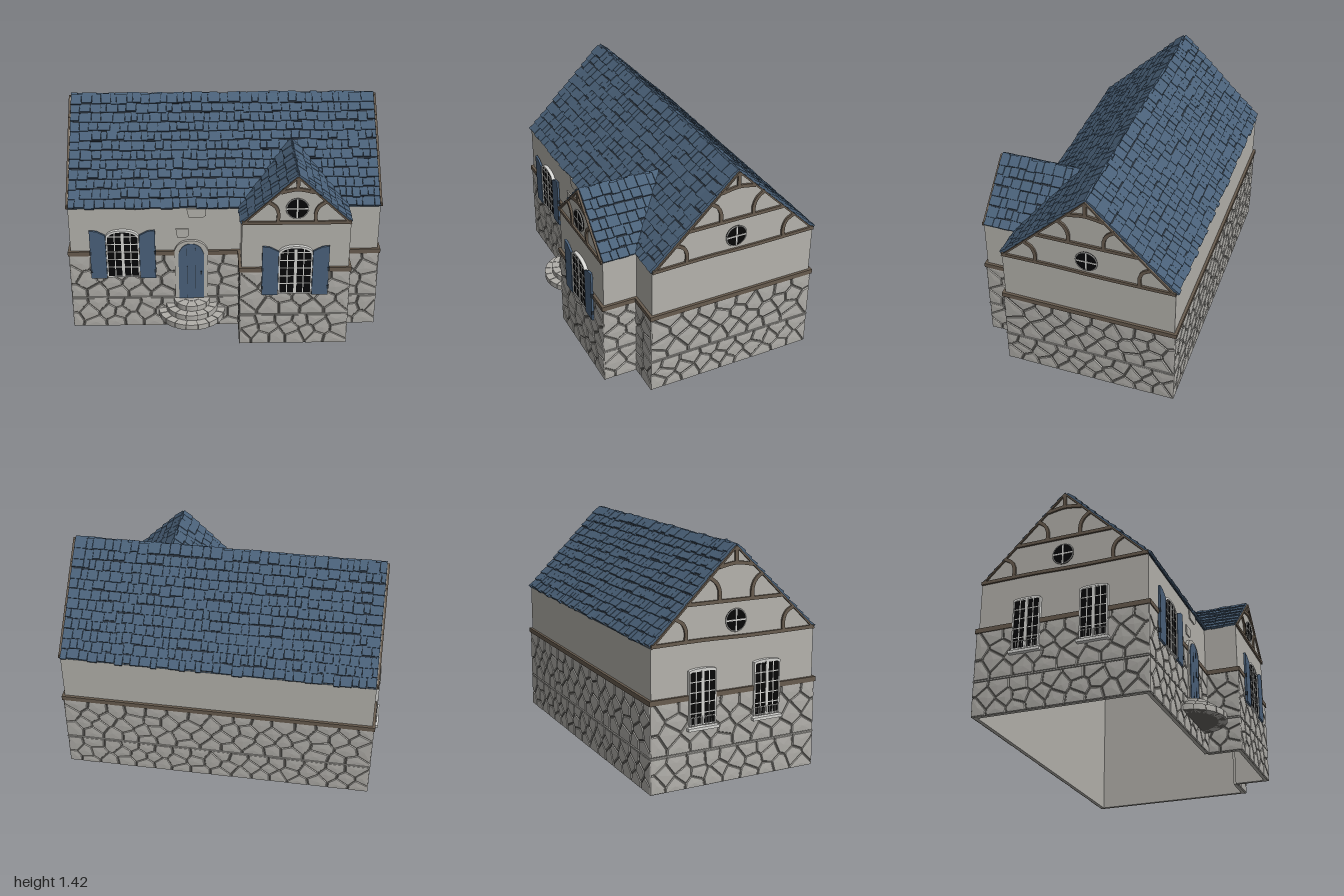
import * as THREE from 'three';
import { mergeGeometries } from 'three/addons/utils/BufferGeometryUtils.js';

const mat = (name, color) => {
  const m = new THREE.MeshStandardMaterial({ color });
  m.name = name;
  return m;
};
const M = {
  plaster: mat('plaster', 0xb5b3ad), stone: mat('stone', 0xb1afaa),
  grout: mat('grout', 0x6a6863), timber: mat('timber', 0x685c4f),
  tile: mat('roofTile', 0x4a6179), gap: mat('roofGap', 0x28313b),
  frame: mat('windowFrame', 0xd6d6d3), glass: mat('glass', 0x060607), blue: mat('bluePaint', 0x4a617b),
};
const HALF = Math.PI / 2;
let seed = 7;
const rnd = () => ((seed = (seed * 16807) % 2147483647) / 2147483647);

function add(parent, name, geo, material, x = 0, y = 0, z = 0) {
  const m = new THREE.Mesh(geo, material);
  m.name = name;
  m.position.set(x, y, z);
  parent.add(m);
  return m;
}
// Box given by its centre in x and y and its depth range in z
const box = (p, name, material, x, y, w, h, z0, z1) =>
  add(p, name, new THREE.BoxGeometry(w, h, z1 - z0), material, x, y, (z0 + z1) / 2);
const extrude = (shape, depth) =>
  new THREE.ExtrudeGeometry(shape, { depth, bevelEnabled: false, curveSegments: 8 });
const polygon = pts => new THREE.Shape(pts.map(p => new THREE.Vector2(p[0], p[1])));

// Local frame of one house side: x along it, y up, z outwards
function side(parent, name, x, z, turn) {
  const g = new THREE.Group();
  g.name = name;
  g.position.set(x, 0, z);
  g.rotation.y = turn;
  parent.add(g);
  return g;
}

// Timber following a smooth path on a wall
function beam(parent, pts, w, flip = 1) {
  const line = new THREE.SplineCurve(pts.map(p => new THREE.Vector2(p[0] * flip, p[1]))).getPoints(pts.length > 2 ? 10 : 1);
  const left = [], right = [];
  line.forEach((p, i) => {
    const a = line[Math.max(i - 1, 0)], b = line[Math.min(i + 1, line.length - 1)];
    const d = b.clone().sub(a).normalize().multiplyScalar(w / 2);
    left.push([p.x - d.y, p.y + d.x]);
    right.unshift([p.x + d.y, p.y - d.x]);
  });
  add(parent, 'timberBeam', extrude(polygon([...left, ...right]), 0.012), M.timber);
}

// Irregular stones: cells around jittered points, each with a sloped rim and a low crown
function stoneBand(parent, w, y0, y1, rows, cell) {
  const cols = Math.max(2, Math.round(w / cell)), h = y1 - y0, sites = [], pos = [];
  for (let r = 0; r < rows; r++) for (let c = 0; c < cols; c++) {
    sites.push([((c + 0.25 + (r % 2) * 0.5 + (rnd() - 0.5) * 0.5) / cols - 0.5) * w,
      y0 + (r + 0.5 + (rnd() - 0.5) * 0.55) / rows * h]);
  }
  for (const s of sites) {
    let poly = [[-w / 2, y0], [w / 2, y0], [w / 2, y1], [-w / 2, y1]];
    for (const q of sites) {
      const dx = q[0] - s[0], dy = q[1] - s[1], len = Math.hypot(dx, dy);
      if (q === s || len > 0.5) continue;
      const dist = p => ((p[0] - s[0]) * dx + (p[1] - s[1]) * dy) / len - len / 2 + 0.003;
      const out = [];
      poly.forEach((a, i) => {
        const b = poly[(i + 1) % poly.length], da = dist(a), db = dist(b);
        if (da <= 0) out.push(a);
        if (da * db < 0) out.push([a[0] + (b[0] - a[0]) * da / (da - db), a[1] + (b[1] - a[1]) * da / (da - db)]);
      });
      poly = out;
    }
    if (poly.length < 3) continue;
    const cx = poly.reduce((t, p) => t + p[0], 0) / poly.length;
    const cy = poly.reduce((t, p) => t + p[1], 0) / poly.length;
    const top = p => [cx + (p[0] - cx) * 0.91, cy + (p[1] - cy) * 0.91, 0.011];
    poly.forEach((p, i) => {
      const a = [...p, 0.004], b = [...poly[(i + 1) % poly.length], 0.004], ta = top(a), tb = top(b);
      pos.push(...a, ...b, ...tb, ...a, ...tb, ...ta, ...ta, ...tb, cx, cy, 0.0135);
    });
  }
  const geo = new THREE.BufferGeometry();
  geo.setAttribute('position', new THREE.Float32BufferAttribute(pos, 3));
  geo.computeVertexNormals();
  add(parent, 'stones', geo, M.stone);
}

function wall(parent, name, x, z, turn, len) {
  const g = side(parent, name, x, z, turn);
  box(g, 'plasterWall', M.plaster, 0, 0.435, len, 0.87, -0.02, 0);
  box(g, 'groutBacking', M.grout, 0, 0.27, len + 0.01, 0.54, 0, 0.005);
  stoneBand(g, len + 0.024, 0, 0.215, 3, 0.12);
  stoneBand(g, len + 0.024, 0.225, 0.54, 4, 0.13);
  box(g, 'stoneLedge', M.stone, 0, 0.22, len + 0.026, 0.008, 0, 0.013);
  box(g, 'timberRail', M.timber, 0, 0.55, len + 0.034, 0.03, 0, 0.017);
  return g;
}

// Upright outline with an arched top
function arch(w, y0, y1, rise, Type = THREE.Shape) {
  const s = new Type(), a = w / 2;
  s.moveTo(-a, y0);
  s.lineTo(a, y0);
  s.lineTo(a, y1 - rise);
  s.bezierCurveTo(a * 0.85, y1 - rise * 0.3, a * 0.5, y1, 0, y1);
  s.bezierCurveTo(-a * 0.5, y1, -a * 0.85, y1 - rise * 0.3, -a, y1 - rise);
  s.closePath();
  return s;
}

function windowUnit(parent, x, w, y0, y1, rise, cols, rows) {
  const g = side(parent, 'window', x, 0, 0);
  add(g, 'windowGlass', extrude(arch(w, y0, y1, rise), 0.048), M.glass, 0, 0, -0.03);
  const rim = arch(w + 0.006, y0 - 0.004, y1 + 0.004, rise);
  rim.holes.push(arch(w - 0.01, y0 + 0.004, y1 - 0.008, rise, THREE.Path));
  add(g, 'windowFrame', extrude(rim, 0.054), M.frame, 0, 0, -0.031);
  for (let i = 1; i < cols; i++) {
    const mid = i === cols / 2;
    box(g, 'mullion', M.frame, (i / cols - 0.5) * w, (y0 + y1 - rise * 0.4) / 2, mid ? 0.018 : 0.006, y1 - y0 - rise * 0.4, -0.031, mid ? 0.023 : 0.021);
  }
  // Taller panes at the bottom
  const low = y0 + 0.07;
  for (let j = 0; j < rows; j++) box(g, 'glazingBar', M.frame, 0, low + (y1 - rise - low) * j / (rows - 1), w, 0.006, -0.031, 0.021);
  return g;
}

function shutters(g) {
  for (const s of [-1, 1]) {
    const pts = [[0.105, 0.375], [0.205, 0.375], [0.205, 0.72], [0.16, 0.715], [0.105, 0.685]].map(p => [p[0] * s, p[1]]);
    add(g, 'shutter', extrude(polygon(pts), 0.014), M.blue, 0, 0, 0.012);
    for (const y of [0.43, 0.56]) box(g, 'shutterHinge', M.gap, s * 0.202, y, 0.012, 0.025, 0.012, 0.028);
  }
}

// Gable triangle with timbers and a round window
function gable(g, half, apex, paths) {
  add(g, 'gableWall', extrude(polygon([[-half, 0.865], [half, 0.865], [0, apex]]), 0.02), M.plaster, 0, 0, -0.02);
  for (const s of [-1, 1]) {
    beam(g, [[half, 0.865], [0, apex - 0.002]], 0.01, s);
    for (const p of paths.braces) beam(g, p, 0.021, s);
  }
  for (const p of paths.beams) beam(g, p, 0.021);
  const disc = add(g, 'roundGlass', new THREE.CylinderGeometry(0.066, 0.066, 0.012, 24), M.glass, 0, 0.973, 0.005);
  disc.rotation.x = HALF;
  add(g, 'roundFrame', new THREE.TorusGeometry(0.066, 0.004, 6, 24), M.frame, 0, 0.973, 0.009);
  box(g, 'crossBar', M.frame, 0, 0.973, 0.13, 0.009, 0.008, 0.014);
  box(g, 'crossBar', M.frame, 0, 0.973, 0.009, 0.13, 0.008, 0.014);
}

// One roof slope of overlapping tiles; span(t) gives its ends at fraction t from the ridge
function slope(parent, name, x, y, z, turn, run, drop, rows, span) {
  const g = side(parent, name, x, z, turn), inner = new THREE.Group();
  inner.position.y = y;
  inner.rotation.x = Math.atan2(drop, run);
  g.add(inner);
  const L = Math.hypot(run, drop), pitch = L / rows, tiles = [], shade = [];
  const [a0, a1] = span(0), [b0, b1] = span(1);
  const deck = extrude(polygon([[a0, 0], [b0, -L], [b1, -L], [a1, 0]]), 0.004);
  add(inner, 'roofDeck', deck.rotateX(-HALF), M.tile);
  for (let r = 0; r < rows; r++) {
    const [s, e] = span((r + 0.5) / rows), end = (r + 1) * pitch, mid = (s + e) / 2;
    // Dark bed seen between tiles, and a dark joint below their lower edges
    shade.push(new THREE.BoxGeometry(e - s - 0.03, 0.012, pitch - 0.01).translate(mid, 0.006, end - pitch / 2 - 0.004));
    if (r < rows - 1) shade.push(new THREE.BoxGeometry(e - s - 0.03, 0.0175, 0.016).translate(mid, 0.00875, end - 0.002));
    for (let c = s; c < e - 0.005;) {
      let w = 0.035 + rnd() * 0.045;
      if (c + w > e - 0.025) w = e - c;
      const len = pitch * 1.12, t = new THREE.BoxGeometry(w - 0.003, 0.016, len);
      t.rotateX(-0.14 + (rnd() - 0.5) * 0.05).rotateZ((rnd() - 0.5) * 0.05);
      tiles.push(t.translate(c + w / 2, 0.011 + rnd() * 0.003, end - len / 2 + (rnd() - 0.4) * 0.016));
      c += w;
    }
  }
  add(inner, 'roofTiles', mergeGeometries(tiles), M.tile);
  add(inner, 'tileShadowGaps', mergeGeometries(shade), M.gap);
}

export function createModel() {
  const house = new THREE.Group();
  house.name = 'cottage';

  // Walls round the footprint
  const front = wall(house, 'frontWall', -0.425, 0.43, 0, 1.07);
  const bay = wall(house, 'bayFrontWall', 0.44, 0.645, 0, 0.66);
  wall(house, 'frontRightWall', 0.875, 0.43, 0, 0.21);
  wall(house, 'baySideWall', 0.11, 0.5375, -HALF, 0.215);
  wall(house, 'baySideWall', 0.77, 0.5375, HALF, 0.215);
  const ends = [wall(house, 'endWall', 0.98, -0.11, HALF, 1.08), wall(house, 'endWall', -0.96, -0.11, -HALF, 1.08)];
  wall(house, 'backWall', 0.01, -0.65, Math.PI, 1.94);

  // Front windows with shutters
  for (const [g, x] of [[front, -0.205], [bay, 0]]) shutters(windowUnit(g, x, 0.2, 0.385, 0.715, 0.04, 4, 5));

  // End windows with sills and low railings
  for (const x of [-0.22, 0.21]) {
    const g = windowUnit(ends[1], x, 0.17, 0.385, 0.715, 0.012, 4, 5);
    box(g, 'windowSill', M.frame, 0, 0.364, 0.2, 0.018, 0, 0.04);
    for (let i = -4; i <= 4; i++) box(g, 'railingBar', M.frame, i * 0.019, 0.405, 0.003, 0.05, 0.024, 0.028);
    box(g, 'railingTop', M.frame, 0, 0.432, 0.16, 0.005, 0.023, 0.029);
  }

  // Door in a plain arched surround
  const door = side(front, 'door', 0.225, 0, 0);
  add(door, 'doorSurround', extrude(arch(0.21, 0.22, 0.64, 0.07), 0.02), M.plaster);
  add(door, 'doorLeaf', extrude(arch(0.16, 0.22, 0.62, 0.075), 0.055), M.blue, 0, 0, -0.03);
  for (const x of [-0.027, 0.027]) box(door, 'doorGroove', M.gap, x, 0.405, 0.002, 0.37, 0.024, 0.026);
  box(door, 'doorLatch', M.gap, 0.062, 0.41, 0.01, 0.025, 0.024, 0.03);

  // Bare stones showing through the plaster above the door
  for (const [x, y, w, h] of [[0.17, 0.69, 0.08, 0.06], [0.26, 0.83, 0.12, 0.06]]) {
    const pts = [[-0.4, -0.5], [0.35, -0.5], [0.5, -0.3], [0.5, 0.5], [-0.5, 0.5]];
    add(front, 'bareStone', extrude(polygon(pts.map(p => [p[0] * w, p[1] * h])), 0.008), M.plaster, x, y, 0);
  }

  // Half-round steps laid in wedge blocks
  const steps = side(house, 'steps', -0.2, 0.43, 0);
  [0.215, 0.165, 0.115].forEach((r, k) => {
    const y = 0.1 + k * 0.038, n = 9 - k * 2;
    const core = new THREE.CylinderGeometry(r - 0.006, r - 0.006, 0.034, 18, 1, false, -HALF, Math.PI);
    add(steps, 'stepCore', core, M.grout, 0, y + 0.017, 0);
    for (let i = 0; i < n; i++) {
      const a = Math.PI * (1 + i / n) + 0.015, b = Math.PI * (1 + (i + 1) / n) - 0.015, s = new THREE.Shape();
      s.absarc(0, 0, r, a, b, false);
      s.absarc(0, 0, k === 2 ? 0.05 : r - 0.055, b, a, true);
      add(steps, 'stepBlock', extrude(s, 0.037).rotateX(-HALF), M.stone, 0, y, 0);
    }
  });
  add(steps, 'landing', new THREE.CylinderGeometry(0.047, 0.047, 0.037, 10, 1, false, -HALF, Math.PI), M.stone, 0, 0.1945, 0);

  // Gables
  for (const g of ends) gable(g, 0.54, 1.4, {
    beams: [[[-0.54, 0.875], [-0.2, 0.879], [0.1, 0.873], [0.54, 0.876]], [[-0.31, 1.09], [0.31, 1.09]],
      [[-0.11, 1.288], [0, 1.305], [0.11, 1.288]], [[0, 1.3], [0, 1.395]]],
    braces: [[[0.385, 1.012], [0.342, 0.985], [0.322, 0.935], [0.325, 0.88]], [[0.175, 1.235], [0.13, 1.2], [0.108, 1.15], [0.108, 1.09]]],
  });
  gable(bay, 0.33, 1.18, {
    beams: [[[-0.33, 0.876], [0.33, 0.876]], [[-0.1, 1.08], [0, 1.1], [0.1, 1.08]], [[0, 1.1], [0, 1.175]]],
    braces: [[[0.17, 1.015], [0.13, 0.985], [0.112, 0.94], [0.115, 0.88]]],
  });

  // Main roof, then the bay roof running back into it
  const mainSpan = () => [-0.968, 0.968];
  slope(house, 'frontRoof', 0.01, 1.398, -0.11, 0, 0.54, 0.535, 12, mainSpan);
  slope(house, 'backRoof', 0.01, 1.398, -0.11, Math.PI, 0.54, 0.535, 12, mainSpan);
  const back = t => 0.09 + t * 0.31;
  slope(house, 'bayRoof', 0.44, 1.176, 0, HALF, 0.325, 0.315, 7, t => [-0.645, -back(t)]);
  slope(house, 'bayRoof', 0.44, 1.176, 0, -HALF, 0.325, 0.315, 7, t => [back(t), 0.645]);
  return house;
}
